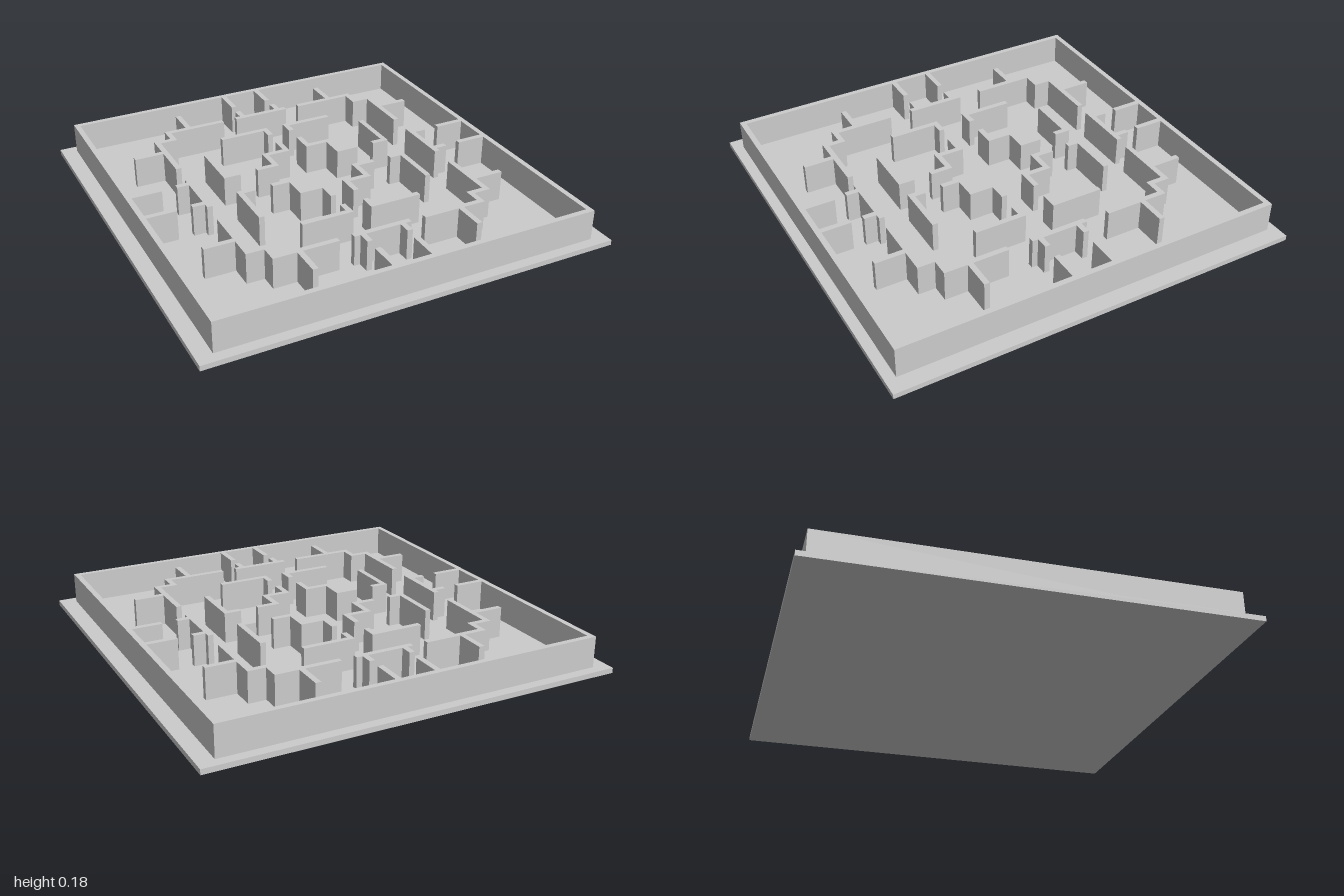
import * as THREE from 'three';

const BASE = 0.025, TOP = 0.175, HALF = 0.0135; // floor height, wall top, half wall thickness
const material = new THREE.MeshStandardMaterial({ color: 0xcccccc, flatShading: true });

// Raise a plan shape (x, -z) from the floor to the wall top
function raise(name, shape) {
  const geometry = new THREE.ExtrudeGeometry(shape, { depth: TOP - BASE, bevelEnabled: false });
  geometry.rotateX(-Math.PI / 2).translate(0, BASE, 0);
  const mesh = new THREE.Mesh(geometry, material);
  mesh.name = name;
  return mesh;
}

// Wall of constant thickness along a right-angled centre line of [x, z] points
function wall(name, path) {
  const pts = path.map(([x, z]) => new THREE.Vector2(x, -z));
  const normals = pts.slice(1).map((p, i) => {
    const d = p.clone().sub(pts[i]).normalize();
    return new THREE.Vector2(-d.y, d.x);
  });
  const side = (s) => pts.map((p, i) => {
    const n = new THREE.Vector2();
    if (i > 0) n.add(normals[i - 1]);
    if (i < normals.length) n.add(normals[i]);
    return p.clone().addScaledVector(n, s * HALF);
  });
  return raise(name, new THREE.Shape([...side(1), ...side(-1).reverse()]));
}

function rectangle(Type, hx, hz) {
  return new Type([[-hx, -hz], [hx, -hz], [hx, hz], [-hx, hz]].map(([x, y]) => new THREE.Vector2(x, y)));
}

export function createModel() {
  const model = new THREE.Group();
  model.name = 'maze';

  const base = new THREE.Mesh(new THREE.BoxGeometry(2, BASE, 2), material);
  base.name = 'basePlate';
  base.position.y = BASE / 2;
  model.add(base);

  const walls = new THREE.Group();
  walls.name = 'walls';
  walls.position.set(-0.0015, 0, -0.0015);
  model.add(walls);

  // Enclosing wall
  const frame = rectangle(THREE.Shape, 0.923, 0.951);
  frame.holes.push(rectangle(THREE.Path, 0.896, 0.924));
  walls.add(raise('outerWall', frame));

  // Walls of one quarter, mirrored into all four
  const quarter = {
    endStub: [[0.096, 0.924], [0.096, 0.78]],
    sideStub: [[0.896, 0.1], [0.75, 0.1]],
    endBracketPeg: [[0.1, 0.66], [0.1, 0.72]],
    sideBracketPeg: [[0.6175, 0.1], [0.676, 0.1]],
    steppedCorner: [[0.215, 0.647], [0.518, 0.647], [0.518, 0.563], [0.604, 0.563], [0.604, 0.26]],
    cornerEndFin: [[0.404, 0.6605], [0.404, 0.807]],
    cornerSideFin: [[0.6175, 0.45], [0.762, 0.45]],
    endAngle: [[0.301, 0.459], [0.059, 0.459], [0.059, 0.392]],
    sideAngle: [[0.432, 0.33], [0.432, 0.086], [0.361, 0.086]],
    innerStep: [[0.272, 0.086], [0.172, 0.086], [0.172, 0.204], [0.059, 0.204], [0.059, 0.303]],
  };
  for (const sx of [1, -1]) {
    for (const sz of [1, -1]) {
      for (const [name, path] of Object.entries(quarter)) {
        walls.add(wall(name, path.map(([x, z]) => [x * sx, z * sz])));
      }
    }
    // Brackets crossing the centre lines
    walls.add(wall('endBracket', [[-0.143, sx * 0.647], [0.143, sx * 0.647]]));
    walls.add(wall('sideBracket', [[sx * 0.604, -0.142], [sx * 0.604, 0.142]]));
  }
  return model;
}
